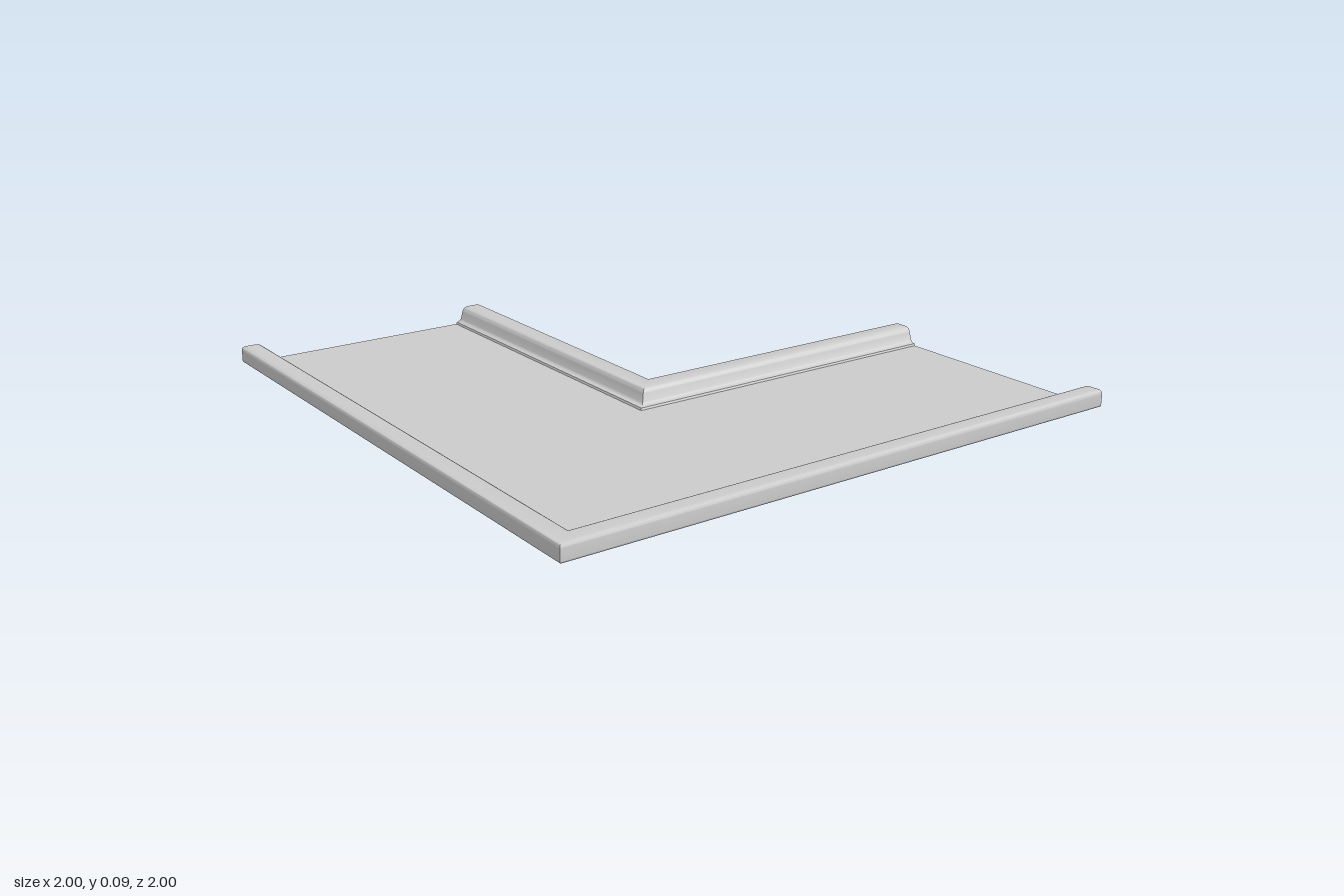
import * as THREE from 'three';
import { toCreasedNormals } from 'three/addons/utils/BufferGeometryUtils.js';

const WIDTH = 0.925;   // width of each arm, outer edge to inner edge
const FLOOR = 0.025;   // height of the tray floor
const JOIN = 0.12;     // where the rim profile hands over to the flat floor

const material = new THREE.MeshStandardMaterial({ color: 0xcccccc, side: THREE.DoubleSide });

// Sweep a section (distance from outer edge, height) around the mitred corner
function sweep(name, section) {
  const stations = [
    (p) => [-1, p.y, 1 - p.x],
    (p) => [1 - p.x, p.y, 1 - p.x],
    (p) => [1 - p.x, p.y, -1],
  ];
  const pos = [];
  for (let s = 0; s < 2; s++) {
    for (let j = 0; j < section.length - 1; j++) {
      const a = stations[s](section[j]);
      const b = stations[s](section[j + 1]);
      const c = stations[s + 1](section[j + 1]);
      const d = stations[s + 1](section[j]);
      pos.push(...a, ...d, ...c, ...a, ...c, ...b);
    }
  }
  const geometry = new THREE.BufferGeometry();
  geometry.setAttribute('position', new THREE.Float32BufferAttribute(pos, 3));
  const mesh = new THREE.Mesh(toCreasedNormals(geometry, 0.7), material);
  mesh.name = name;
  return mesh;
}

// Rolled rim: from the underside, out around the lip, over the top, down to the floor
function rimSection() {
  const p = new THREE.Path();
  p.moveTo(JOIN, 0);
  p.lineTo(0.085, 0);
  p.quadraticCurveTo(0.071, 0, 0.07, 0.013);
  p.lineTo(0.069, 0.019);
  p.quadraticCurveTo(0.067, 0.03, 0.055, 0.03);
  p.lineTo(0.008, 0.03);
  p.quadraticCurveTo(0, 0.03, 0, 0.038);
  p.lineTo(0, 0.072);
  p.quadraticCurveTo(0, 0.085, 0.014, 0.085);
  p.lineTo(0.05, 0.085);
  p.quadraticCurveTo(0.07, 0.085, 0.075, 0.067);
  p.lineTo(0.081, 0.046);
  p.quadraticCurveTo(0.085, 0.034, 0.1, 0.032);
  p.lineTo(0.103, FLOOR);
  p.lineTo(JOIN, FLOOR);
  return p.getPoints(6);
}

export function createModel() {
  const group = new THREE.Group();
  group.name = 'cornerTray';

  // Matching rims on the outside and inside of the bend
  const outer = rimSection();
  const inner = rimSection().reverse().map((p) => new THREE.Vector2(WIDTH - p.x, p.y));
  group.add(sweep('outerRim', outer), sweep('innerRim', inner));

  // Flat floor and underside between the rims
  const strip = (d0, d1, y) => [new THREE.Vector2(d0, y), new THREE.Vector2(d1, y)];
  group.add(sweep('floor', strip(JOIN, WIDTH - JOIN, FLOOR)));
  group.add(sweep('underside', strip(WIDTH - JOIN, JOIN, 0)));

  return group;
}
